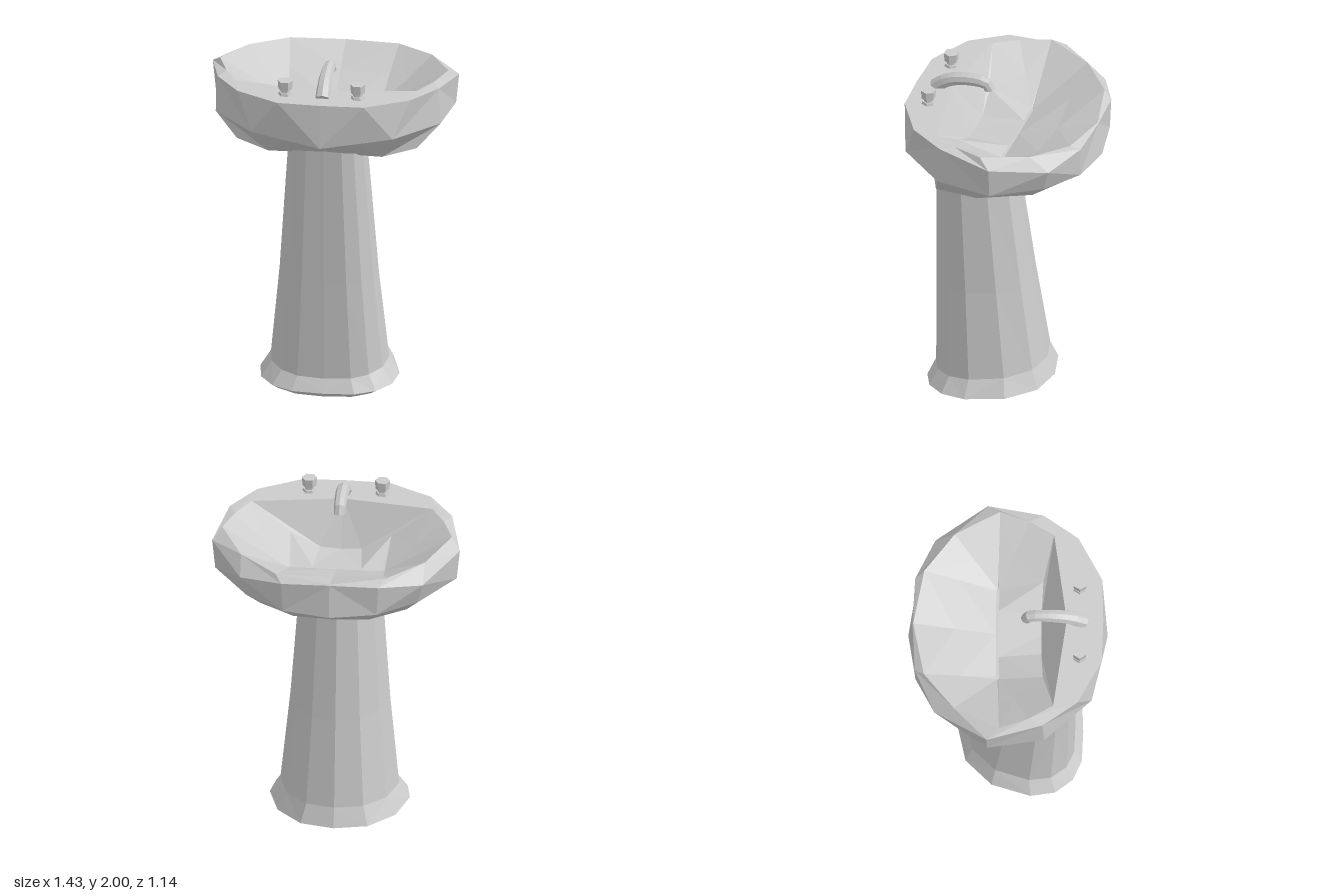
import * as THREE from 'three';

const material = new THREE.MeshStandardMaterial({ color: 0xcccccc, flatShading: true });
const openMaterial = new THREE.MeshStandardMaterial({ color: 0xcccccc, flatShading: true, side: THREE.DoubleSide });

// Half outline (back centre to front centre) mirrored into a closed ring
function mirrorRing(half) {
  const right = half.map(p => new THREE.Vector3(...p));
  const left = half.slice(1, -1).reverse().map(([x, y, z]) => new THREE.Vector3(-x, y, z));
  return [...right, ...left];
}

// Faceted skin through rings of equal length; diagonals alternate to give diamond facets
function loft(rings, capped) {
  const pos = [];
  const tri = (...pts) => pts.forEach(p => pos.push(p.x, p.y, p.z));
  const n = rings[0].length;
  for (let i = 0; i < rings.length - 1; i++) {
    for (let j = 0; j < n; j++) {
      const k = (j + 1) % n;
      const a = rings[i][j], b = rings[i][k], c = rings[i + 1][k], d = rings[i + 1][j];
      if (j % 2 === 0) { tri(a, b, c); tri(a, c, d); }
      else { tri(a, b, d); tri(b, c, d); }
    }
  }
  const cap = (ring, flip) => {
    const mid = ring.reduce((s, p) => s.add(p), new THREE.Vector3()).divideScalar(n);
    ring.forEach((p, j) => {
      const q = ring[(j + 1) % n];
      if (flip) tri(mid, q, p); else tri(mid, p, q);
    });
  };
  if (capped) {
    cap(rings[0], true);
    cap(rings[rings.length - 1], false);
  }
  const g = new THREE.BufferGeometry();
  g.setAttribute('position', new THREE.Float32BufferAttribute(pos, 3));
  g.computeVertexNormals();
  return g;
}

function addMesh(parent, name, geometry, mat = material) {
  const mesh = new THREE.Mesh(geometry, mat);
  mesh.name = name;
  parent.add(mesh);
  return mesh;
}

// Basin: underside, outer wall, rim deck, then the hollow
function basinGeometry() {
  const underside = [[0, 1.45, 0.1], [0.1, 1.45, 0.1], [0.2, 1.455, 0.05], [0.23, 1.458, 0],
    [0.22, 1.45, -0.04], [0.15, 1.435, -0.07], [0.08, 1.43, -0.08], [0, 1.43, -0.08]];
  const lower = [[0, 1.503, 0.33], [0.2, 1.497, 0.33], [0.33, 1.497, 0.335], [0.52, 1.53, 0.26],
    [0.56, 1.542, 0], [0.42, 1.537, -0.29], [0.22, 1.53, -0.41], [0, 1.53, -0.43]];
  const belly = [[0, 1.63, 0.57], [0.21, 1.653, 0.525], [0.41, 1.675, 0.48], [0.65, 1.67, 0.21],
    [0.695, 1.66, -0.12], [0.495, 1.64, -0.38], [0.27, 1.63, -0.53], [0, 1.62, -0.573]];
  const rim = [[0, 1.89, 0.545], [0.25, 1.89, 0.537], [0.5, 1.89, 0.4], [0.64, 1.885, 0.2],
    [0.713, 1.84, -0.12], [0.525, 1.775, -0.42], [0.28, 1.81, -0.535], [0, 1.82, -0.55]];
  const lip = [[0, 1.89, 0.335], [0.26, 1.89, 0.298], [0.52, 1.89, 0.26], [0.6, 1.89, 0.12],
    [0.66, 1.89, -0.05], [0.53, 1.865, -0.31], [0.315, 1.845, -0.483], [0, 1.825, -0.545]];
  const slope = [[0, 1.64, 0.19], [0.12, 1.65, 0.19], [0.29, 1.735, 0.2], [0.435, 1.772, 0.033],
    [0.47, 1.772, -0.055], [0.405, 1.76, -0.19], [0.29, 1.75, -0.277], [0, 1.74, -0.305]];
  const floor = [[0, 1.655, -0.055], [0.14, 1.655, -0.055], [0.26, 1.655, -0.05], [0.275, 1.655, -0.055],
    [0.28, 1.655, -0.06], [0.275, 1.655, -0.065], [0.26, 1.655, -0.07], [0, 1.655, -0.07]];
  return loft([underside, lower, belly, rim, lip, slope, floor].map(mirrorRing), true);
}

// Pedestal: one rounded, flat-backed section scaled through tilted levels
function pedestalGeometry() {
  const section = [[0, 0], [0.45, 0.01], [0.74, 0.08], [0.94, 0.22], [1, 0.42], [0.84, 0.73], [0.48, 0.94], [0, 1]];
  // back height, front height, half width, back z, front z
  const levels = [
    [0, 0.05, 0.36, 0.4, -0.24],
    [0.03, 0.065, 0.403, 0.43, -0.287],
    [0.105, 0.175, 0.342, 0.385, -0.242],
    [0.7, 0.7, 0.287, 0.39, -0.16],
    [1.32, 1.32, 0.243, 0.397, -0.073],
    [1.54, 1.47, 0.23, 0.4, -0.045]
  ];
  return loft(levels.map(([yb, yf, w, zb, zf]) => mirrorRing(section.map(([u, t]) =>
    [u * w, yb + (yf - yb) * Math.sqrt(t), zb + (zf - zb) * t]))), false);
}

// Faucet: tapering tube along a curve in the centre plane, its outlet turned down
function faucetGeometry() {
  const curve = new THREE.CatmullRomCurve3([[1.88, 0.435], [1.935, 0.36], [1.962, 0.27], [1.966, 0.17],
    [1.957, 0.125], [1.94, 0.108], [1.922, 0.105]].map(([y, z]) => new THREE.Vector3(0, y, z)));
  const side = new THREE.Vector3(1, 0, 0);
  const rings = [];
  for (let i = 0; i <= 10; i++) {
    const t = i / 10;
    const centre = curve.getPointAt(t);
    const across = curve.getTangentAt(t).cross(side);
    const r = 0.044 - 0.011 * t;
    rings.push(Array.from({ length: 8 }, (_, j) => {
      const a = j * Math.PI / 4;
      return centre.clone().addScaledVector(side, r * Math.cos(a)).addScaledVector(across, r * Math.sin(a));
    }));
  }
  return loft(rings, true);
}

export function createModel() {
  const model = new THREE.Group();
  model.name = 'pedestalSink';
  addMesh(model, 'basin', basinGeometry());
  addMesh(model, 'pedestal', pedestalGeometry(), openMaterial);
  addMesh(model, 'faucet', faucetGeometry());

  // Hexagonal tap handles
  for (const [name, x] of [['rightTap', -0.22], ['leftTap', 0.2]]) {
    const tap = new THREE.Group();
    tap.name = name;
    tap.position.set(x, 1.885, 0.41);
    tap.rotation.y = Math.PI / 6;
    addMesh(tap, 'tapBase', new THREE.CylinderGeometry(0.036, 0.043, 0.02, 6)).position.y = 0.01;
    addMesh(tap, 'tapStem', new THREE.CylinderGeometry(0.027, 0.027, 0.03, 6)).position.y = 0.03;
    addMesh(tap, 'tapHandle', new THREE.CylinderGeometry(0.044, 0.04, 0.053, 6)).position.y = 0.066;
    model.add(tap);
  }
  return model;
}
